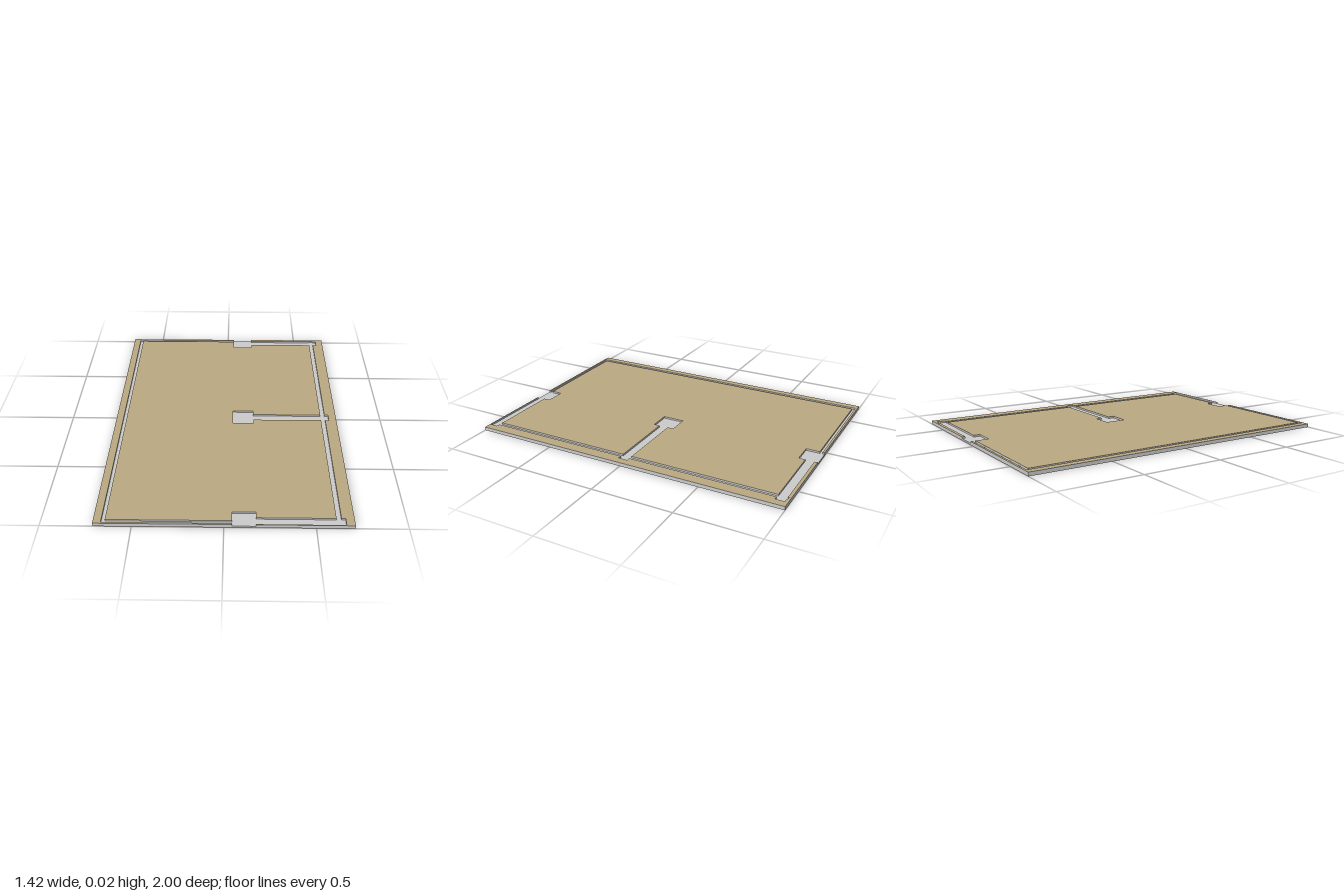
import * as THREE from 'three';

const W = 0.71, L = 1;               // half width and half length of the board
const FLOOR = 0.011, TOP = 0.022;    // channel floor and top surface heights
const PAD = [0.044, 0.175];          // x range of the three wide pockets
const SLOT_END = 0.662;              // outer end of the wide slots

const grey = new THREE.MeshStandardMaterial({ color: 0xcccccc });
const tan = new THREE.MeshStandardMaterial({ color: 0xbba982 });

// Raised piece: an outline of [x, z] corners with a tan top and grey walls
function raised(name, corners) {
  const shape = new THREE.Shape(corners.map(([x, z]) => new THREE.Vector2(x, -z)));
  const geometry = new THREE.ExtrudeGeometry(shape, { depth: TOP - FLOOR, bevelEnabled: false });
  geometry.rotateX(-Math.PI / 2);
  geometry.translate(0, FLOOR, 0);
  const mesh = new THREE.Mesh(geometry, [tan, grey]);
  mesh.name = name;
  return mesh;
}

export function createModel() {
  const group = new THREE.Group();
  group.name = 'channelledBoard';

  // Lower slab, which is also the floor of every channel
  const base = new THREE.Mesh(new THREE.BoxGeometry(2 * W, FLOOR, 2 * L), grey);
  base.position.y = FLOOR / 2;
  base.name = 'baseSlab';
  group.add(base);

  // Rim left of the pockets, outside the narrow channel
  group.add(raised('narrowRim', [
    [PAD[0], -L], [-W, -L], [-W, L], [PAD[0], L],
    [PAD[0], 0.989], [-0.666, 0.989], [-0.666, -0.987], [PAD[0], -0.987],
  ]));

  // Rim right of the pockets, notched where the three wide slots end
  group.add(raised('wideRim', [
    [PAD[1], -L], [W, -L], [W, L], [PAD[1], L],
    [PAD[1], 0.995], [SLOT_END, 0.995], [SLOT_END, 0.945], [0.639, 0.945],
    [0.639, 0.037], [SLOT_END, 0.037], [SLOT_END, -0.02], [0.639, -0.02],
    [0.639, -0.926], [SLOT_END, -0.926], [SLOT_END, -0.98], [0.639, -0.98],
    [0.639, -0.986], [0.612, -0.986], [0.612, -0.98], [PAD[1], -0.98],
  ]));

  // Central field, cut by the pockets and the middle slot
  group.add(raised('centralField', [
    [-0.646, -0.97], [PAD[0], -0.97], [PAD[0], -0.886], [PAD[1], -0.886],
    [PAD[1], -0.926], [0.612, -0.926], [0.612, -0.02], [PAD[1], -0.02],
    [PAD[1], -0.06], [PAD[0], -0.06], [PAD[0], 0.075], [PAD[1], 0.075],
    [PAD[1], 0.037], [0.612, 0.037], [0.612, 0.945], [PAD[1], 0.945],
    [PAD[1], 0.902], [PAD[0], 0.902], [PAD[0], 0.97], [-0.646, 0.97],
  ]));

  return group;
}
